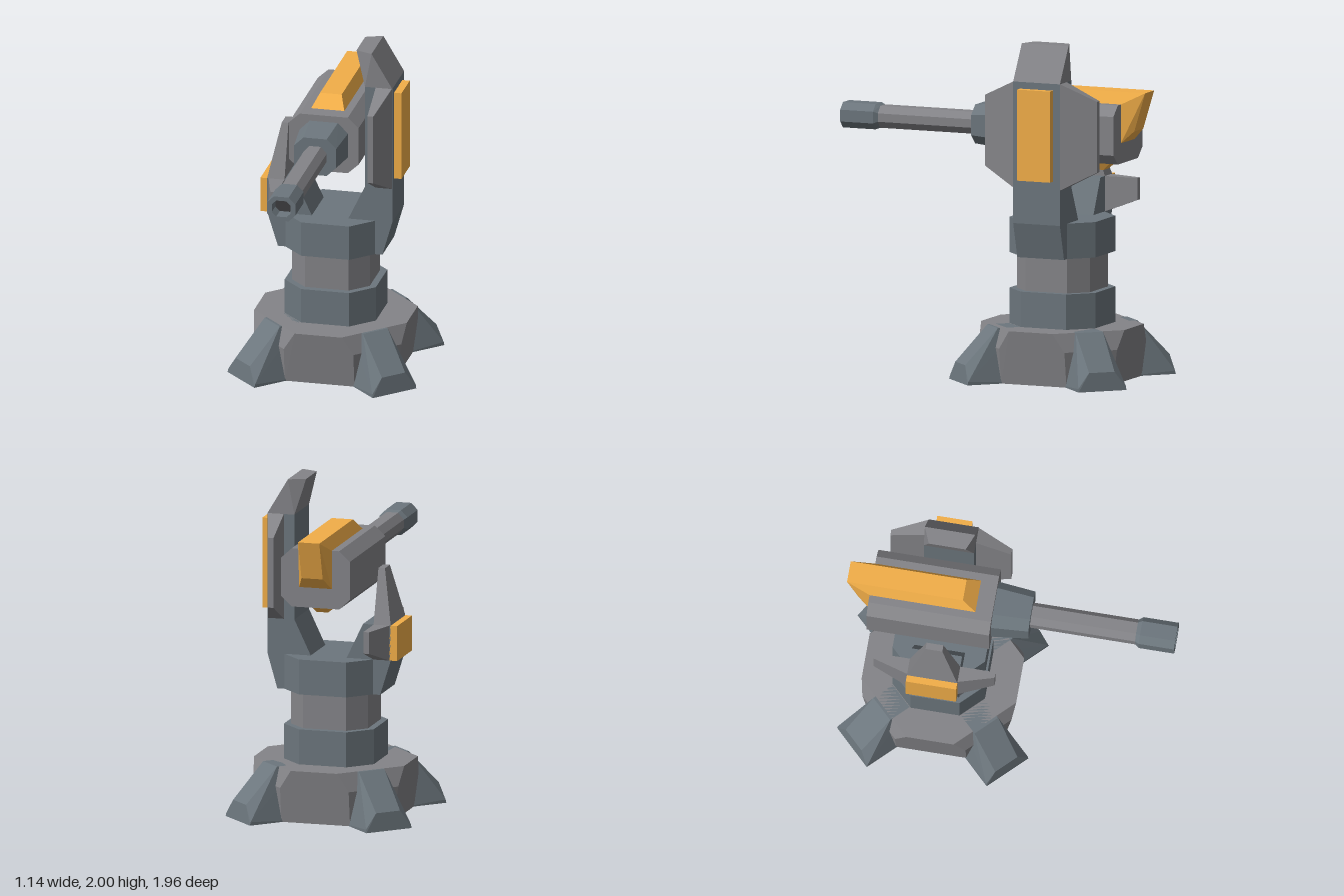
import * as THREE from 'three';
import { ConvexGeometry } from 'three/addons/geometries/ConvexGeometry.js';

const material = (color) => new THREE.MeshStandardMaterial({ color, flatShading: true });

export function createModel() {
  const model = new THREE.Group();
  const turret = new THREE.Group(); // local origin on the column axis
  turret.name = 'turret';
  turret.position.z = -0.41;
  model.add(turret);

  const grey = material(0x848488);
  const slate = material(0x6c767d);
  const orange = material(0xf2ae48);
  const dark = material(0x3c3c3e);

  function add(name, geometry, mat, parent = turret) {
    const mesh = new THREE.Mesh(geometry, mat);
    mesh.name = name;
    parent.add(mesh);
    return mesh;
  }
  const hull = (name, points, mat, parent) =>
    add(name, new ConvexGeometry(points.map((p) => new THREE.Vector3(...p))), mat, parent);

  // Corners of an octagon with half sizes a, b and half flat sides ha, hb, in order
  const octagon = (a, b, ha, hb) => [
    [a, -hb], [a, hb], [ha, b], [-ha, b], [-a, hb], [-a, -hb], [-ha, -b], [ha, -b],
  ];
  // Horizontal and gun-axis rings
  const level = (y, a, h) => octagon(a, a, h, h).map(([x, z]) => [x, y, z]);
  const GUN_Y = 1.475;
  const section = (z, a, b, ha, hb) => octagon(a, b, ha, hb).map(([x, y]) => [x, y + GUN_Y, z]);
  // Mirrors points across the z = 0 plane, or across x = 0
  const bothZ = (points) => points.flatMap(([x, y, z]) => [[x, y, z], [x, y, -z]]);
  const bothX = (points) => points.flatMap(([x, y, z]) => [[x, y, z], [-x, y, z]]);

  // Base and column
  hull('base', [...level(0, 0.415, 0.21), ...level(0.21, 0.444, 0.21), ...level(0.32, 0.46, 0.14)], grey);
  hull('lowerCollar', [...level(0.3, 0.275, 0.145), ...level(0.53, 0.275, 0.145)], slate);
  hull('neck', [...level(0.5, 0.235, 0.132), ...level(0.76, 0.235, 0.132)], grey);
  hull('upperCollar', [...level(0.74, 0.275, 0.145), ...level(0.95, 0.275, 0.145)], slate);

  // Four diagonal feet, modelled along +z
  for (let i = 0; i < 4; i++) {
    const foot = hull('foot', bothX([
      [0.15, 0, 0.3], [0.15, 0, 0.655], [0.15, 0.02, 0.65],
      [0.08, 0.11, 0.643], [0.085, 0.32, 0.44], [0.085, 0.32, 0.3],
    ]), slate);
    foot.rotation.y = Math.PI / 4 + (i * Math.PI) / 2;
  }

  // Side arms: a profile in x and y, extruded front to back
  function arm(name, profile) {
    const shape = new THREE.Shape(profile.map(([x, y]) => new THREE.Vector2(x, y)));
    const geometry = new THREE.ExtrudeGeometry(shape, { depth: 0.3, bevelEnabled: false });
    add(name, geometry.translate(0, 0, -0.15), slate);
  }
  arm('leftArm', [
    [0.1, 0.74], [0.315, 0.74], [0.375, 0.95], [0.375, 1.79], [0.21, 1.79], [0.21, 1.16], [0.11, 0.95],
  ]);
  arm('rightArm', [
    [-0.1, 0.74], [-0.315, 0.74], [-0.38, 0.95], [-0.38, 1.16], [-0.21, 1.16], [-0.11, 0.95],
  ]);

  // Armour plates with bevelled front and back ends
  function plate(name, side, [bottom, top], [endBottom, endTop]) {
    const points = [
      [0.275, endBottom, 0.36], [0.275, endTop, 0.36], [0.31, endBottom, 0.36], [0.31, endTop, 0.36],
      [0.275, bottom, 0.15], [0.275, top, 0.15], [0.372, bottom, 0.15], [0.372, top, 0.15],
    ];
    hull(name, bothZ(points.map(([x, y, z]) => [x * side, y, z])), grey);
  }
  plate('leftPlate', 1, [1.16, 1.79], [1.27, 1.69]);
  plate('rightPlate', -1, [0.95, 1.16], [1.03, 1.16]);

  // Horns above the arms
  hull('leftHorn', bothZ([
    [0.21, 1.79, 0.15], [0.375, 1.79, 0.15], [0.25, 2, 0.15], [0.15, 2, 0.11],
  ]), grey);
  hull('rightHorn', bothZ([
    [-0.275, 1.16, 0.15], [-0.38, 1.16, 0.15], [-0.315, 1.48, 0.05], [-0.275, 1.48, 0.05],
  ]), grey);

  // Coloured side panels
  add('leftPanel', new THREE.BoxGeometry(0.05, 0.54, 0.21), orange).position.set(0.395, 1.48, 0);
  add('rightPanel', new THREE.BoxGeometry(0.05, 0.21, 0.3), orange).position.set(-0.395, 1.055, 0);

  // Gun
  const gun = new THREE.Group();
  gun.name = 'gun';
  turret.add(gun);
  const frustum = (name, rear, front, mat) =>
    hull(name, [...section(...rear), ...section(...front)], mat, gun);
  frustum('gunBody', [-0.42, 0.21, 0.175, 0.145, 0.115], [0.31, 0.21, 0.175, 0.145, 0.115], grey);
  frustum('mantlet', [0.3, 0.147, 0.137, 0.085, 0.075], [0.53, 0.127, 0.115, 0.07, 0.06], slate);
  frustum('barrel', [0.5, 0.07, 0.065, 0.035, 0.025], [1.17, 0.07, 0.065, 0.035, 0.025], grey);
  frustum('muzzleCollar', [1.155, 0.07, 0.065, 0.035, 0.025], [1.18, 0.085, 0.075, 0.045, 0.035], slate);

  // Hollow muzzle with a dark bore
  const outline = (a, b, ha, hb) => octagon(a, b, ha, hb).map(([x, y]) => new THREE.Vector2(x, y));
  const muzzleShape = new THREE.Shape(outline(0.085, 0.075, 0.045, 0.035));
  muzzleShape.holes.push(new THREE.Path(outline(0.057, 0.05, 0.03, 0.024)));
  const muzzle = new THREE.ExtrudeGeometry(muzzleShape, { depth: 0.21, bevelEnabled: false });
  add('muzzle', muzzle.translate(0, GUN_Y, 1.18), slate, gun);
  frustum('bore', [1.19, 0.06, 0.053, 0.032, 0.026], [1.3, 0.06, 0.053, 0.032, 0.026], dark);

  // Coloured crest along the top, hooking down over the rear
  hull('topCrest', bothX([
    [0.1, 1.65, 0.21], [0.1, 1.65, -0.42], [0.065, 1.72, 0.13], [0.065, 1.72, -0.56],
  ]), orange, gun);
  hull('rearCrest', bothX([
    [0.1, 1.65, -0.42], [0.1, 1.42, -0.42], [0.065, 1.72, -0.56], [0.065, 1.49, -0.49],
  ]), orange, gun);
  hull('bellyKeel', bothX([
    [0.065, 1.3, 0.16], [0.065, 1.3, -0.34], [0.035, 1.245, 0.1], [0.035, 1.245, -0.28],
  ]), orange, gun);

  return model;
}
